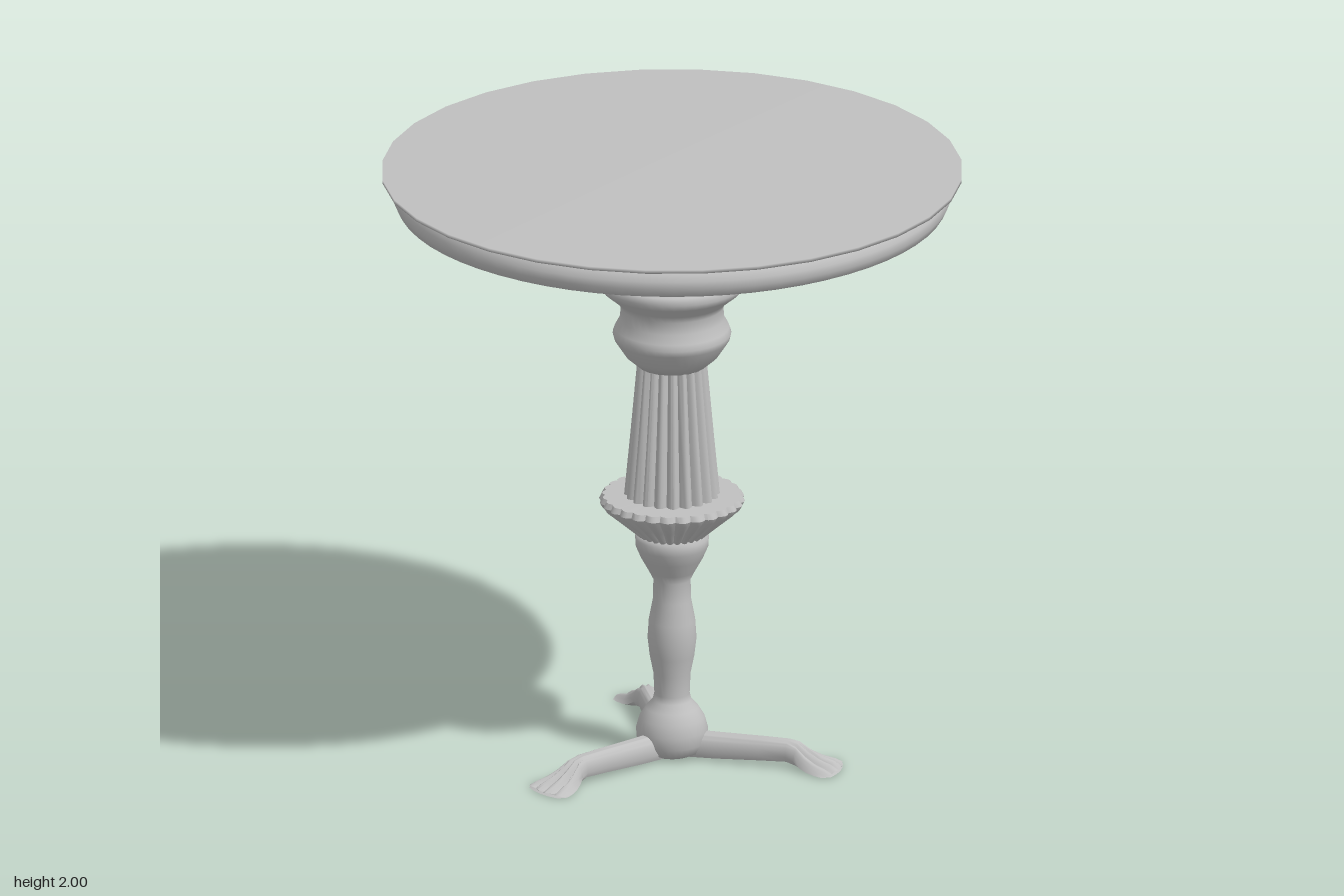
import * as THREE from 'three';
import { mergeVertices, toCreasedNormals } from 'three/addons/utils/BufferGeometryUtils.js';

const grey = new THREE.MeshStandardMaterial({ color: 0xbfbfbf });
grey.name = 'plain grey';

const toPoints = (list) => list.map(([r, y]) => new THREE.Vector2(r, y));

// Smooth turned part from a [radius, height] profile
function turned(name, profile, segments = 32) {
  const mesh = new THREE.Mesh(new THREE.LatheGeometry(toPoints(profile), segments), grey);
  mesh.name = name;
  return mesh;
}

// Turned part with vertical rounded ribs; third profile value is the groove depth
function fluted(name, profile, ribs) {
  const steps = ribs * 6;
  const lathe = new THREE.LatheGeometry(toPoints(profile), steps);
  const pos = lathe.attributes.position;
  for (let i = 0; i < pos.count; i++) {
    const column = Math.floor(i / profile.length);
    const depth = profile[i % profile.length][2];
    const rib = Math.abs(Math.sin((column / steps) * ribs * Math.PI));
    const r = Math.hypot(pos.getX(i), pos.getZ(i));
    if (r < 1e-4) continue;
    const k = (r - depth * (1 - rib)) / r;
    pos.setX(i, pos.getX(i) * k);
    pos.setZ(i, pos.getZ(i) * k);
  }
  lathe.deleteAttribute('uv');
  lathe.deleteAttribute('normal');
  const mesh = new THREE.Mesh(toCreasedNormals(mergeVertices(lathe), 0.8), grey);
  mesh.name = name;
  return mesh;
}

// Leg lofted outward along +z, ending in a spread foot with toes
function legGeometry() {
  // distance, half width, bottom, top, toe strength
  const sections = [
    [0.0, 0.04, 0.005, 0.088, 0],
    [0.15, 0.04, 0.01, 0.088, 0],
    [0.30, 0.036, 0.018, 0.09, 0],
    [0.39, 0.034, 0.022, 0.09, 0],
    [0.425, 0.04, 0.014, 0.084, 0.1],
    [0.46, 0.052, 0.004, 0.06, 0.25],
    [0.50, 0.066, 0, 0.038, 0.4],
    [0.54, 0.08, 0, 0.024, 0.5],
    [0.565, 0.086, 0, 0.01, 0.5],
  ];
  const top = 25, under = 5, ring = top + under;
  const verts = [], index = [];
  for (const [d, w, low, high, toe] of sections) {
    for (let i = 0; i < top; i++) {
      const u = (i / (top - 1)) * 2 - 1;
      const groove = 1 - Math.abs(Math.sin((u + 1) * 2 * Math.PI));
      const arch = 0.25 + 0.75 * Math.sqrt(1 - Math.abs(u) ** 2.5);
      const reach = toe * 0.04 * (groove + u * u);
      verts.push(u * w, low + (high - low) * arch * (1 - toe * groove), d - reach);
    }
    for (let i = 0; i < under; i++) {
      const u = 0.8 - (i / (under - 1)) * 1.6;
      verts.push(u * w, low, d - toe * 0.04 * u * u);
    }
  }
  for (let s = 0; s < sections.length - 1; s++) {
    for (let i = 0; i < ring; i++) {
      const j = (i + 1) % ring;
      const a = s * ring + i, b = s * ring + j;
      index.push(a, a + ring, b, b, a + ring, b + ring);
    }
  }
  // Close the toe end
  const last = (sections.length - 1) * ring;
  verts.push(0, 0.004, 0.555);
  for (let i = 0; i < ring; i++) {
    index.push(last + ring, last + ((i + 1) % ring), last + i);
  }
  const geo = new THREE.BufferGeometry();
  geo.setAttribute('position', new THREE.Float32BufferAttribute(verts, 3));
  geo.setIndex(index);
  return toCreasedNormals(geo, 0.9);
}

export function createModel() {
  const table = new THREE.Group();
  table.name = 'pedestalTable';

  // Thin top sheet and the rounded rim below it
  table.add(turned('tableTop', [
    [0, 1.988], [0.935, 1.988], [0.935, 2.0], [0, 2.0],
  ]));
  table.add(turned('tableRim', [
    [0, 1.886], [0.87, 1.886], [0.885, 1.893], [0.898, 1.92],
    [0.896, 1.945], [0.882, 1.972], [0.86, 1.978], [0.86, 1.99],
  ], 64));

  // Column neck with two turned bulges
  table.add(turned('upperColumn', [
    [0.0, 1.335], [0.11, 1.335], [0.15, 1.37], [0.186, 1.425], [0.191, 1.445],
    [0.184, 1.465], [0.168, 1.495], [0.165, 1.535], [0.178, 1.558],
    [0.225, 1.597], [0.24, 1.62], [0.23, 1.642], [0.17, 1.682],
    [0.156, 1.7], [0.155, 1.89],
  ], 40));

  // Fluted shaft standing on a flared, ribbed collar
  table.add(fluted('flutedShaft', [
    [0.156, 0.87, 0.02], [0.134, 1.1, 0.018], [0.112, 1.345, 0.015],
  ], 20));
  table.add(fluted('ribbedCollar', [
    [0.1, 0.745, 0.006], [0.125, 0.768, 0.012], [0.175, 0.812, 0.016],
    [0.225, 0.855, 0.016], [0.235, 0.872, 0.012], [0.225, 0.89, 0.01],
    [0.14, 0.892, 0], [0.0, 0.892, 0],
  ], 28));

  // Baluster stem and round hub
  table.add(turned('lowerStem', [
    [0, 0.004], [0.07, 0.006], [0.098, 0.02], [0.113, 0.05], [0.116, 0.09],
    [0.105, 0.13], [0.085, 0.162], [0.062, 0.188], [0.057, 0.21],
    [0.06, 0.28], [0.072, 0.34], [0.079, 0.4], [0.075, 0.46],
    [0.062, 0.53], [0.06, 0.6], [0.075, 0.63], [0.1, 0.675],
    [0.117, 0.715], [0.119, 0.745], [0.105, 0.762], [0, 0.765],
  ]));

  // Three legs
  const leg = legGeometry();
  [45, -77, 163].forEach((angle, i) => {
    const mesh = new THREE.Mesh(leg, grey);
    mesh.name = ['frontLeg', 'rightLeg', 'backLeg'][i];
    mesh.rotation.y = THREE.MathUtils.degToRad(angle);
    table.add(mesh);
  });

  return table;
}
